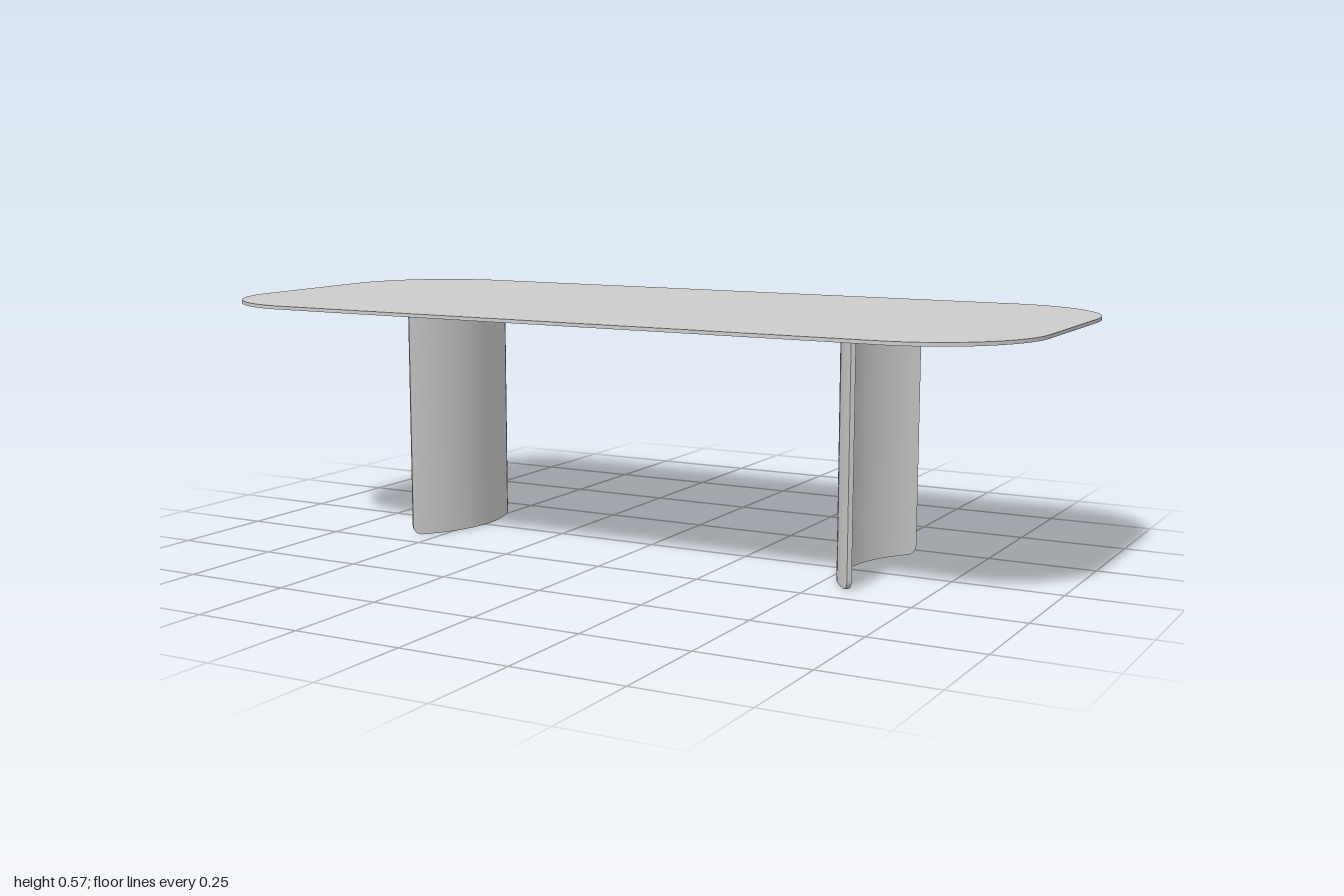
import * as THREE from 'three';

const TOP_Y = 0.565, TOP_THICK = 0.008;

// Flat slab with generously rounded corners
function tabletopGeometry(hx, hz, r) {
  const s = new THREE.Shape();
  s.absarc(hx - r, hz - r, r, 0, Math.PI / 2);
  s.absarc(-hx + r, hz - r, r, Math.PI / 2, Math.PI);
  s.absarc(-hx + r, -hz + r, r, Math.PI, Math.PI * 1.5);
  s.absarc(hx - r, -hz + r, r, Math.PI * 1.5, Math.PI * 2);
  s.closePath();
  const g = new THREE.ExtrudeGeometry(s, { depth: TOP_THICK, bevelEnabled: false, curveSegments: 24 });
  return g.rotateX(-Math.PI / 2);
}

// Thin panel with rounded corners bent to an arc; its crest sits at x = 0 and its ends at +x
function bentPanelGeometry(height, radius, halfAngle, thick, corner) {
  const g = new THREE.BoxGeometry(2, 2, 2, 64, 1, 1);
  const p = g.attributes.position;
  const halfLength = radius * halfAngle;
  for (let i = 0; i < p.count; i++) {
    // columns gather towards the ends, where the corners are rounded
    const u = Math.sin(p.getX(i) * Math.PI / 2);
    const inset = Math.max(0, corner - halfLength * (1 - Math.abs(u)));
    const drop = corner - Math.sqrt(Math.max(0, corner * corner - inset * inset));
    const y = height / 2 + p.getY(i) * (height / 2 - drop);
    const r = p.getZ(i) > 0 ? radius : radius - thick;
    const a = u * halfAngle;
    p.setXYZ(i, radius - r * Math.cos(a), y, r * Math.sin(a));
  }
  g.computeVertexNormals();
  return g;
}

export function createModel() {
  const model = new THREE.Group();
  model.name = 'table';
  const lightGrey = new THREE.MeshStandardMaterial({ color: 0xcccccc });
  lightGrey.name = 'lightGrey';

  const top = new THREE.Mesh(tabletopGeometry(1, 0.443, 0.265), lightGrey);
  top.name = 'tabletop';
  top.position.y = TOP_Y;
  model.add(top);

  // Two curved legs, crests facing each other
  const legGeometry = bentPanelGeometry(TOP_Y, 0.284, 0.797, 0.011, 0.022);
  for (const [name, x, turn] of [['leftLeg', 0.495, 0], ['rightLeg', -0.475, Math.PI]]) {
    const leg = new THREE.Mesh(legGeometry, lightGrey);
    leg.name = name;
    leg.position.set(x, 0, -0.015);
    leg.rotation.y = turn;
    model.add(leg);
  }
  return model;
}
